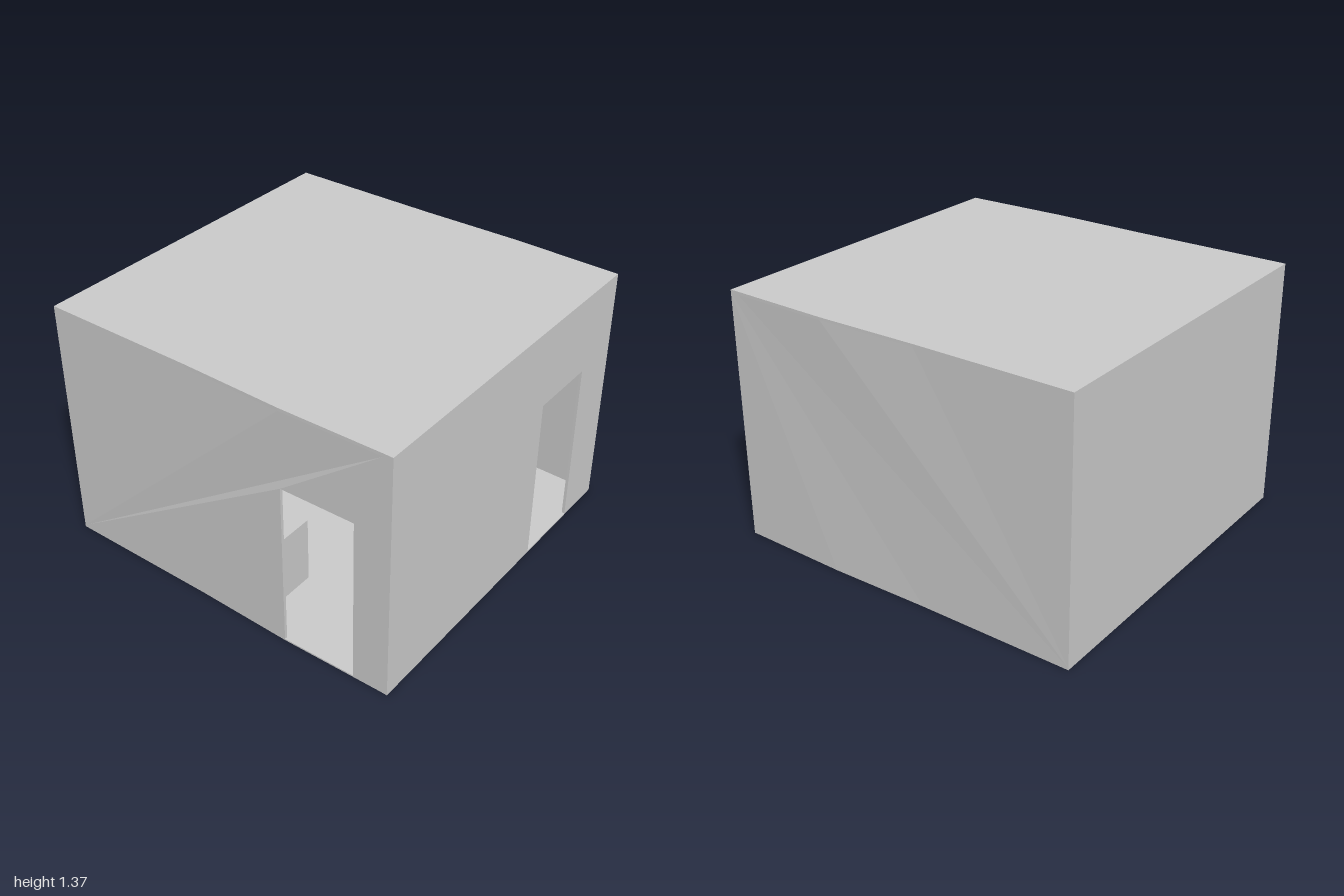
import * as THREE from 'three';

const H = 1.367, T = 0.016, FLOOR = 0.008;
const FRONT = 0.965, BACK = -0.967;

export function createModel() {
  const group = new THREE.Group();
  const material = new THREE.MeshStandardMaterial({ color: 0xcccccc, flatShading: true });

  const add = (name, geometry) => {
    const mesh = new THREE.Mesh(geometry, material);
    mesh.name = name;
    group.add(mesh);
    return mesh;
  };

  const extrude = (points, depth) => new THREE.ExtrudeGeometry(
    new THREE.Shape(points.map(([x, y]) => new THREE.Vector2(x, y))),
    { depth, bevelEnabled: false });

  // Long walls bow out very slightly around x = 0.4
  const bow = (x) => 0.01 * Math.max(0, 1 - Math.abs(x - 0.4) / 0.55);
  const bowOut = (geometry, sign) => {
    const p = geometry.attributes.position;
    for (let i = 0; i < p.count; i++) p.setZ(i, p.getZ(i) + sign * bow(p.getX(i)));
    geometry.computeVertexNormals();
    return geometry;
  };

  // Floor and roof slabs following the plan of the walls
  const plan = [[-1, -FRONT], [-0.15, -FRONT], [0.4, -FRONT - 0.01], [0.95, -FRONT], [1, -FRONT],
    [1, -BACK], [0.95, -BACK], [0.4, -BACK + 0.01], [-0.15, -BACK], [-1, -BACK]];
  for (const [name, y, depth] of [['floor', 0, FLOOR], ['roof', H - T, T]]) {
    add(name, extrude(plan, depth).rotateX(-Math.PI / 2).translate(0, y, 0));
  }

  const top = H - T;
  // Front wall with a doorway
  const frontWall = extrude([[-1, FLOOR], [-0.15, FLOOR], [0.4, FLOOR], [0.4, 0.93], [0.805, 0.93],
    [0.805, FLOOR], [1, FLOOR], [1, top], [0.95, top], [0.4, top], [-0.15, top], [-1, top]], T);
  add('frontWall', bowOut(frontWall.translate(0, 0, FRONT - T), 1));

  // Solid back wall
  const backWall = extrude([[-1, FLOOR], [-0.15, FLOOR], [0.4, FLOOR], [0.95, FLOOR], [1, FLOOR],
    [1, top], [0.95, top], [0.4, top], [-0.15, top], [-1, top]], T);
  add('backWall', bowOut(backWall.translate(0, 0, BACK), -1));

  // Side walls, drawn in -z and turned; the left one has a doorway
  const a = -FRONT + T, b = -BACK - T;
  const doorway = [[0.3, FLOOR], [0.3, 0.93], [0.69, 0.93], [0.69, FLOOR]];
  for (const [name, x, gap] of [['leftWall', 1 - T, doorway], ['rightWall', -1, []]]) {
    add(name, extrude([[a, FLOOR], ...gap, [b, FLOOR], [b, top], [a, top]], T)
      .rotateY(Math.PI / 2).translate(x, 0, 0));
  }

  // Plain block furniture: x, z ranges and height
  const furniture = [
    ['bed', -0.58, 0.355, -0.9, -0.28, 0.255],
    ['desk', -0.35, 0.215, 0.56, 0.9, 0.385],
    ['wardrobe', 0.655, 0.95, -0.2, 0.25, 0.79],
  ];
  for (const [name, x0, x1, z0, z1, h] of furniture) {
    add(name, new THREE.BoxGeometry(x1 - x0, h - FLOOR, z1 - z0))
      .position.set((x0 + x1) / 2, (h + FLOOR) / 2, (z0 + z1) / 2);
  }

  return group;
}
